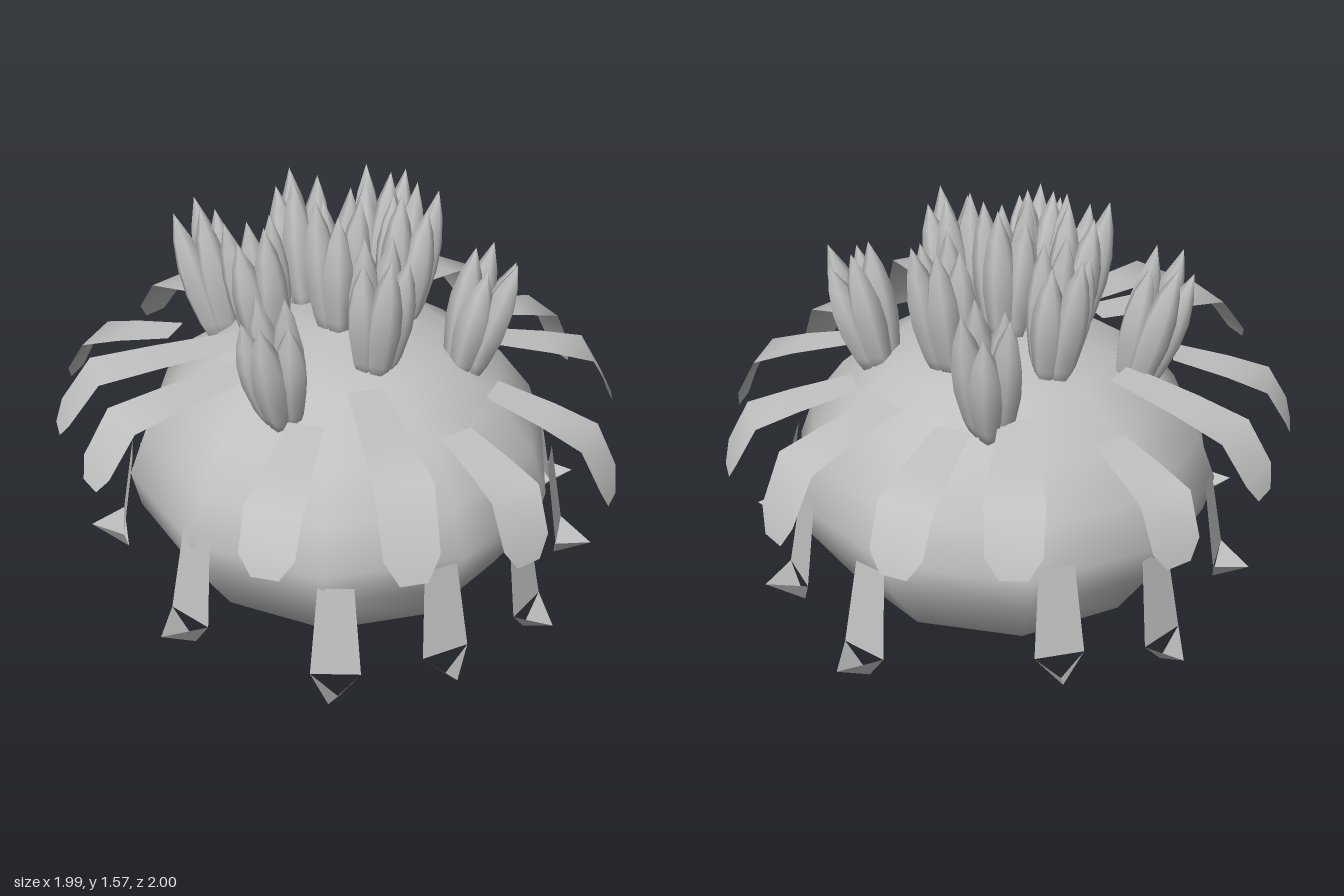
import * as THREE from 'three';

// Smooth strip from rows of left and right points
function sheet(rows) {
  const index = [];
  for (let i = 0; i < rows.length - 1; i++) {
    const a = i * 2;
    index.push(a, a + 1, a + 3, a, a + 3, a + 2);
  }
  const g = new THREE.BufferGeometry().setFromPoints(rows.flat());
  g.setIndex(index);
  g.computeVertexNormals();
  return g;
}

export function createModel() {
  const model = new THREE.Group();
  const grey = new THREE.MeshStandardMaterial({ color: 0xc0c0c0, side: THREE.DoubleSide });
  const V = (x, y, z) => new THREE.Vector3(x, y, z);
  const add = (parent, geometry, name) => {
    const mesh = new THREE.Mesh(geometry, grey);
    mesh.name = name;
    parent.add(mesh);
    return mesh;
  };

  // Ten-sided rounded body with a flat base
  const profile = [[0.29, 0], [0.6, 0.22], [0.74, 0.44], [0.77, 0.58], [0.71, 0.74], [0.59, 0.9], [0.4, 1.03], [0.2, 1.08], [0, 1.1]];
  add(model, new THREE.LatheGeometry(profile.map(([r, y]) => new THREE.Vector2(r, y)), 10), 'body');
  const base = new THREE.CircleGeometry(0.29, 10, Math.PI / 2);
  base.rotateX(Math.PI / 2);
  add(model, base, 'base');

  // Upper arching leaves: inner x, z, outer x, z, start height, drop at the knee, drop at the tip
  const leaves = [
    [-0.15, -0.42, -0.28, -0.97, 1.04, 0.08, 0.28], [0.1, -0.62, 0.17, -1.0, 0.97, 0.05, 0.25],
    [0.3, -0.4, 0.63, -0.74, 1.03, 0.08, 0.28], [0.47, -0.28, 0.88, -0.47, 1.01, 0.07, 0.27],
    [0.5, 0, 0.99, 0.02, 1.0, 0.08, 0.33], [0.5, 0.2, 0.91, 0.4, 0.99, 0.07, 0.27],
    [0.3, 0.48, 0.55, 0.85, 0.98, 0.1, 0.32], [0.07, 0.6, 0.09, 0.99, 0.95, 0.06, 0.28],
    [-0.13, 0.36, -0.32, 0.95, 1.05, 0.05, 0.32], [-0.36, 0.37, -0.7, 0.7, 1.0, 0.08, 0.26],
    [-0.41, 0.05, -1.0, 0.08, 1.06, 0.04, 0.24], [-0.35, -0.1, -0.97, -0.26, 1.08, 0.04, 0.24],
    [-0.45, -0.4, -0.71, -0.74, 1.0, 0.08, 0.26],
  ];
  for (const [x0, z0, x1, z1, y, knee, end] of leaves) {
    const side = V(z1 - z0, 0, x0 - x1).normalize();
    // Along the leaf: fraction, drop, half width
    const arch = [[0, 0, 0.06], [0.45, knee * 0.5, 0.08], [0.78, knee, 0.095], [0.95, end * 0.75, 0.09], [1, end, 0.045]];
    const rows = arch.map(([t, drop, w]) => [1, -1].map((s) =>
      V(x0 + (x1 - x0) * t, y - drop, z0 + (z1 - z0) * t).addScaledVector(side, -s * w)));
    add(model, sheet(rows), 'upperLeaf');
  }

  // Lower hanging leaves with a folded tip: x, z direction and top height
  const hanging = [
    [-0.82, -0.37, 0.63], [-0.8, 0.28, 0.62], [-0.45, 0.7, 0.53], [-0.08, 0.78, 0.56],
    [0.3, 0.76, 0.56], [0.58, 0.58, 0.66], [0.83, 0.22, 0.64], [0.8, -0.17, 0.53],
    [0.4, -0.72, 0.62], [0, -0.83, 0.54], [-0.4, -0.67, 0.62],
  ];
  for (const [x, z, top] of hanging) {
    const y = top - 0.32;
    const leaf = new THREE.Group();
    leaf.name = 'hangingLeaf';
    leaf.rotation.y = Math.atan2(x, z);
    const left = V(-0.085, y, 0.81), right = V(0.085, y, 0.81);
    add(leaf, sheet([[left, right], [V(-0.06, top, 0.755), V(0.06, top, 0.755)]]), 'strip');
    const low = V(0.01, y - 0.11, 0.8), out = V(-0.02, y - 0.02, 0.93);
    const tip = new THREE.BufferGeometry().setFromPoints([left, low, out, out, low, right]);
    tip.computeVertexNormals();
    add(leaf, tip, 'foldedTip');
    model.add(leaf);
  }

  // One closed pointed petal, leaning out from the bud's axis
  const pod = [[0, 0], [0.03, 0.01], [0.047, 0.15], [0.06, 0.4], [0.056, 0.6], [0.036, 0.8], [0, 1]];
  const petal = new THREE.LatheGeometry(pod.map(([r, y]) => new THREE.Vector2(r, y)), 6);
  const p = petal.attributes.position;
  for (let i = 0; i < p.count; i++) p.setZ(i, p.getZ(i) + 0.035 + 0.045 * p.getY(i));

  // Nine buds leaning away from the centre: x, z, height
  const buds = [
    [-0.3, -0.43, 0.5], [0.02, -0.3, 0.5], [0.37, -0.34, 0.5],
    [-0.28, -0.08, 0.49], [-0.01, -0.01, 0.5], [0.27, 0, 0.49],
    [-0.42, 0.27, 0.46], [-0.02, 0.27, 0.48], [0.36, 0.33, 0.46],
  ];
  buds.forEach(([x, z, height], i) => {
    const bud = new THREE.Group();
    bud.name = 'bud';
    bud.position.set(x * 0.88, 1.06 - 0.45 * (x * x + z * z), z * 0.88);
    bud.quaternion.setFromUnitVectors(V(0, 1, 0), V(x * 0.45, 1, z * 0.45).normalize());
    for (let k = 0; k < 5; k++) {
      const mesh = add(bud, petal, 'petal');
      mesh.rotation.y = (k / 5) * Math.PI * 2 + i * 0.5;
      mesh.scale.set(1, height * (k % 2 ? 0.94 : 1.02), 1);
    }
    model.add(bud);
  });

  return model;
}
